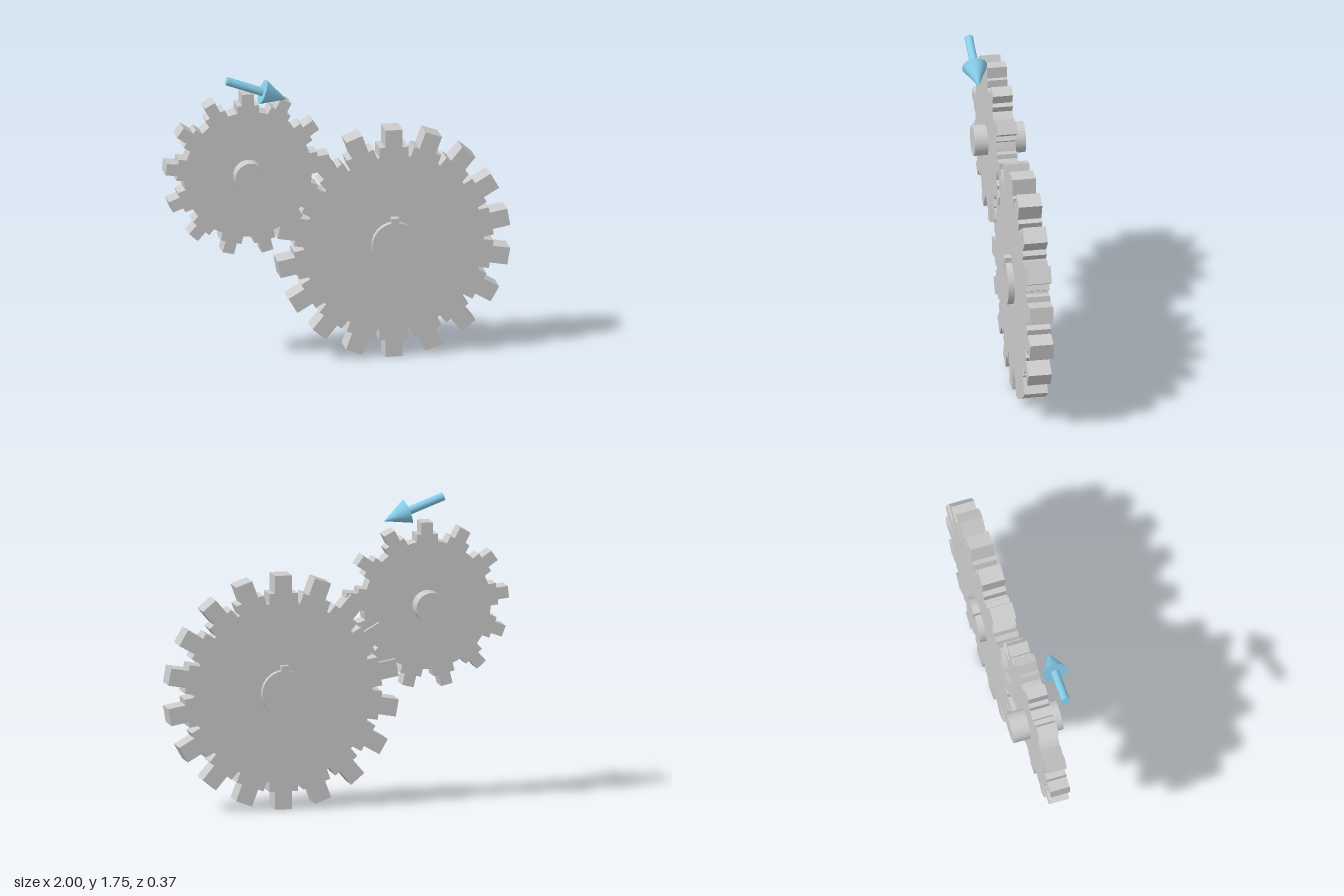
import * as THREE from 'three';

const grey = new THREE.MeshStandardMaterial({ color: 0xcccccc });
const blue = new THREE.MeshStandardMaterial({ color: 0x87ceeb });

function add(parent, name, geometry, material, x, y, z) {
  const mesh = new THREE.Mesh(geometry, material);
  mesh.name = name;
  mesh.position.set(x, y, z);
  parent.add(mesh);
  return mesh;
}

// Gear outline: disc with stepped teeth (wide root, narrow tip), the first pointing up
function gearGeometry({ teeth, disc, step, tip, rootHalf, tipHalf, depth }) {
  const points = [];
  const pitch = (Math.PI * 2) / teeth;
  const foot = Math.sqrt(disc * disc - rootHalf * rootHalf);
  const footAngle = Math.asin(rootHalf / disc);
  const profile = [
    [rootHalf, foot], [rootHalf, step], [tipHalf, step], [tipHalf, tip],
    [-tipHalf, tip], [-tipHalf, step], [-rootHalf, step], [-rootHalf, foot],
  ];
  for (let i = 0; i < teeth; i++) {
    const a = i * pitch;
    const c = Math.cos(a), s = Math.sin(a);
    for (const [x, y] of profile) points.push(new THREE.Vector2(x * c - y * s, x * s + y * c));
    // Disc rim between this tooth and the next
    for (let k = 1; k < 4; k++) {
      const t = a + footAngle + (pitch - 2 * footAngle) * k / 4;
      points.push(new THREE.Vector2(-disc * Math.sin(t), disc * Math.cos(t)));
    }
  }
  const geometry = new THREE.ExtrudeGeometry(new THREE.Shape(points), { depth, bevelEnabled: false });
  return geometry.translate(0, 0, -depth / 2);
}

const axle = (radius, length) =>
  new THREE.CylinderGeometry(radius, radius, length, 64).rotateX(Math.PI / 2);

export function createModel() {
  const model = new THREE.Group();
  model.name = 'gearPair';

  // Large gear with keyed shaft
  const large = new THREE.Group();
  large.name = 'largeGear';
  large.position.set(0.325, 0.675, -0.038);
  model.add(large);
  add(large, 'largeGearWheel', gearGeometry({
    teeth: 18, disc: 0.52, step: 0.572, tip: 0.675, rootHalf: 0.083, tipHalf: 0.05, depth: 0.135,
  }), grey, 0, 0, 0);
  add(large, 'largeShaft', axle(0.132, 0.208), grey, 0, 0, 0);
  add(large, 'shaftKey', new THREE.BoxGeometry(0.044, 0.07, 0.22), grey, 0, 0.125, 0);

  // Small gear with its longer shaft
  const small = new THREE.Group();
  small.name = 'smallGear';
  small.position.set(-0.522, 1.14, -0.023);
  model.add(small);
  add(small, 'smallGearWheel', gearGeometry({
    teeth: 13, disc: 0.37, step: 0.41, tip: 0.477, rootHalf: 0.062, tipHalf: 0.034, depth: 0.115,
  }), grey, 0, 0, 0);
  add(small, 'smallShaft', axle(0.088, 0.295), grey, 0, 0, -0.013);

  // Arrow showing the turning direction
  const tail = new THREE.Vector3(-0.662, 1.73, 0.11);
  const tip = new THREE.Vector3(-0.313, 1.6, 0.11);
  const length = tail.distanceTo(tip);
  const head = 0.15;
  const arrow = new THREE.Group();
  arrow.name = 'directionArrow';
  arrow.position.copy(tail);
  arrow.quaternion.setFromUnitVectors(new THREE.Vector3(0, 1, 0), tip.clone().sub(tail).normalize());
  model.add(arrow);
  const rod = length - head;
  add(arrow, 'arrowRod', new THREE.CylinderGeometry(0.024, 0.024, rod, 32), blue, 0, rod / 2, 0);
  add(arrow, 'arrowHead', new THREE.ConeGeometry(0.072, head, 48), blue, 0, length - head / 2, 0);

  return model;
}
